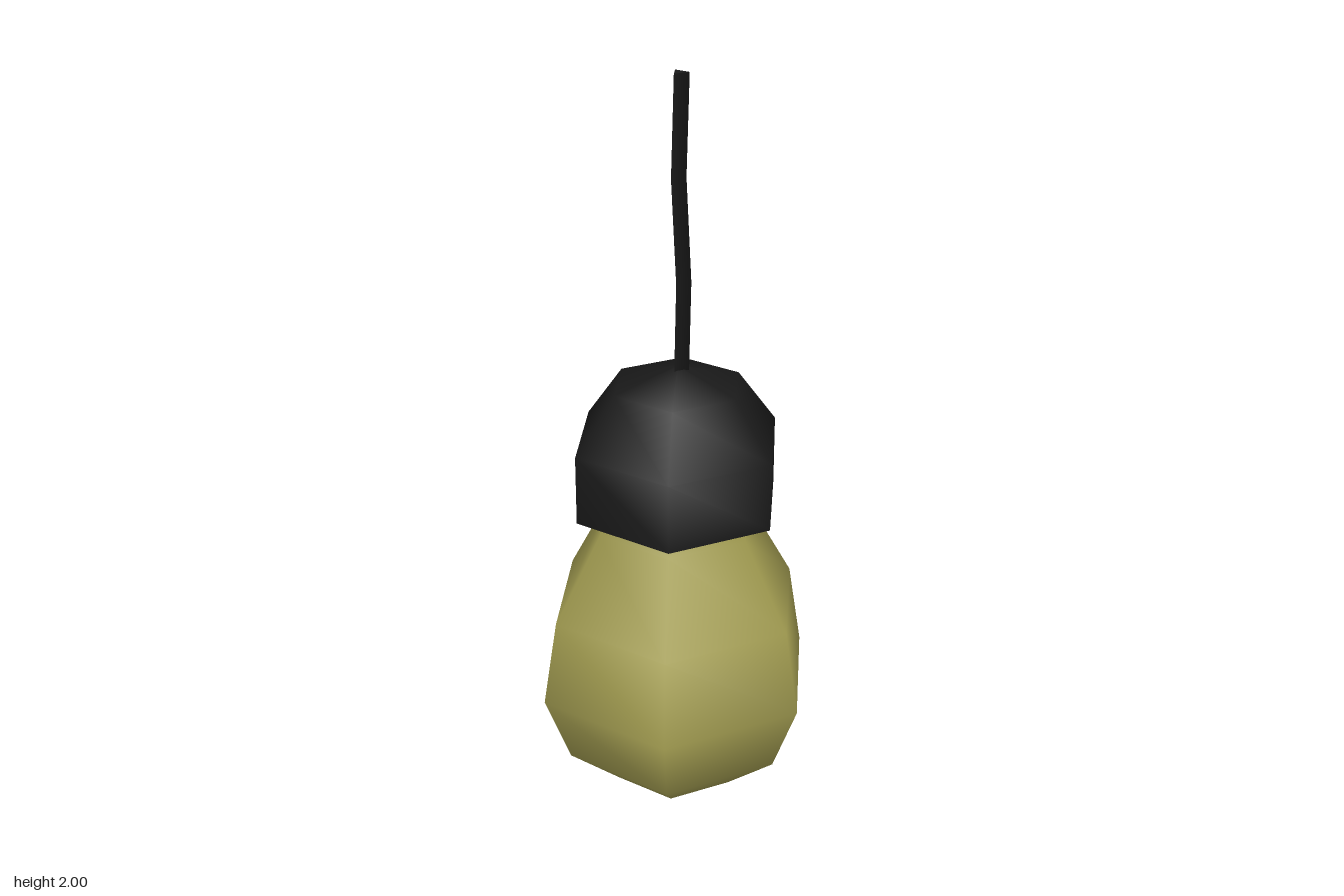
import * as THREE from 'three';

const black = new THREE.MeshStandardMaterial({ color: 0x1a1a1a, side: THREE.DoubleSide });
const glass = new THREE.MeshStandardMaterial({ color: 0xa8a254, side: THREE.DoubleSide });

// Six-sided smooth lathe with corners on the x axis; profile is [radius, y] from bottom to top
function hexLathe(name, profile, material) {
  const points = profile.map(([r, y]) => new THREE.Vector2(r, y));
  const mesh = new THREE.Mesh(new THREE.LatheGeometry(points, 6, Math.PI / 2), material);
  mesh.name = name;
  return mesh;
}

// Three-sided cord whose rings follow a wavy path of [y, z]
function makeCord() {
  const path = [[1.2, 0.006], [1.48, 0.019], [1.74, -0.01], [2, 0.006]];
  const rows = path.length - 1;
  const geometry = new THREE.CylinderGeometry(0.024, 0.024, 1, 3, rows, false, Math.PI);
  const pos = geometry.attributes.position;
  for (let i = 0; i < pos.count; i++) {
    const [y, z] = path[Math.round((pos.getY(i) + 0.5) * rows)];
    pos.setXYZ(i, pos.getX(i) + 0.007, y, pos.getZ(i) + z);
  }
  const mesh = new THREE.Mesh(geometry, black);
  mesh.name = 'cord';
  return mesh;
}

export function createModel() {
  const model = new THREE.Group();
  model.name = 'hangingBulb';

  // Glass bulb, its neck running up inside the socket
  const bulb = hexLathe('bulb', [
    [0, 0.005], [0.175, 0.045], [0.315, 0.16], [0.386, 0.35],
    [0.347, 0.58], [0.218, 0.81], [0.208, 0.95],
  ], glass);

  // Domed socket, open underneath
  const socket = hexLathe('socket', [
    [0.285, 0.865], [0.285, 1.05], [0.175, 1.2], [0, 1.25],
  ], black);
  socket.position.set(0.003, 0, 0.003);

  model.add(bulb, socket, makeCord());
  return model;
}
